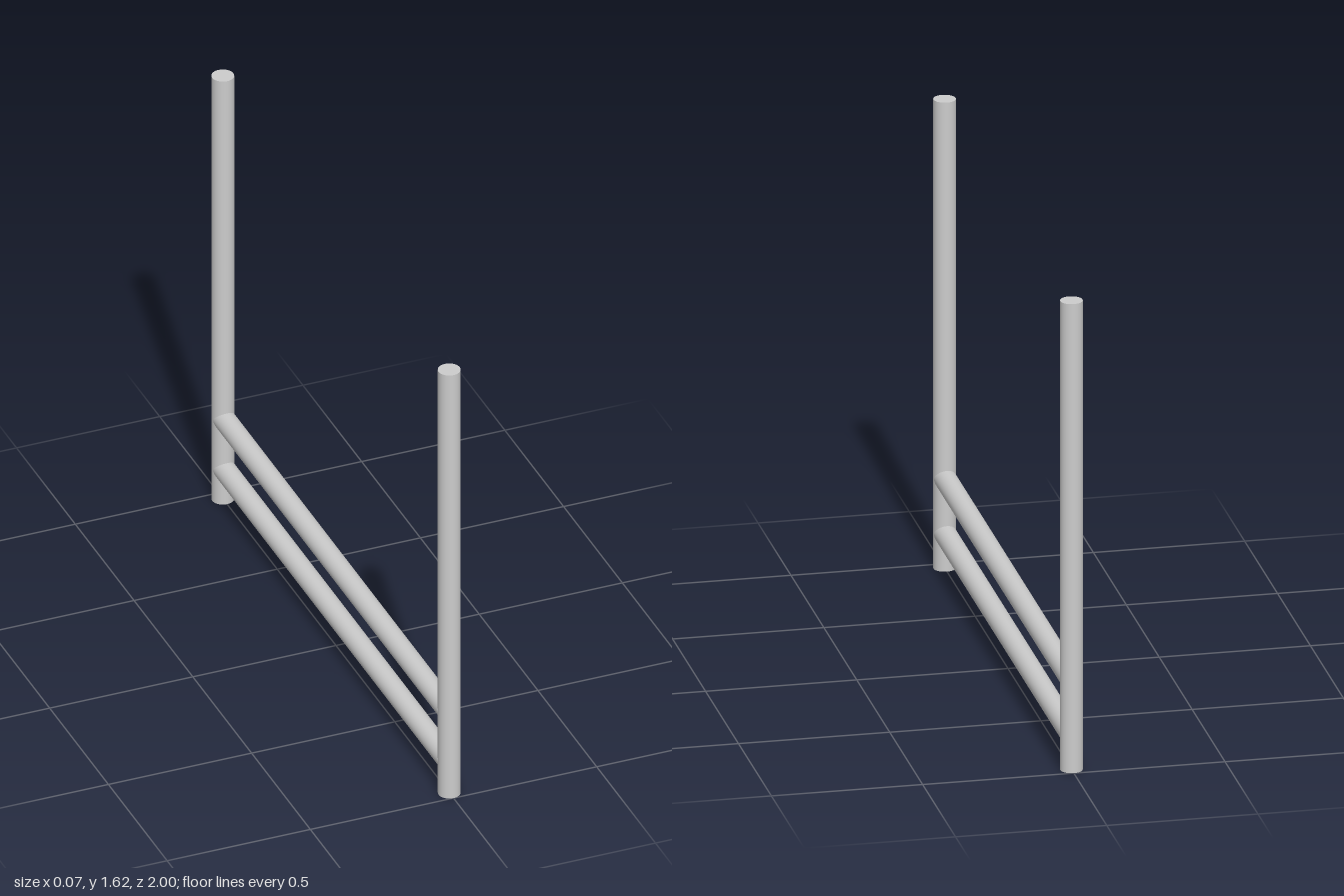
import * as THREE from 'three';

const RADIUS = 0.037;
const HEIGHT = 1.615;
const POST_Z = 1 - RADIUS;

export function createModel() {
  const group = new THREE.Group();
  group.name = 'tubeFrame';
  const material = new THREE.MeshStandardMaterial({ color: 0xcccccc });

  const addTube = (name, radius, length, y, z) => {
    const mesh = new THREE.Mesh(new THREE.CylinderGeometry(radius, radius, length, 48), material);
    mesh.name = name;
    mesh.position.set(0, y, z);
    group.add(mesh);
    return mesh;
  };

  // Upright posts at the front and back
  addTube('frontPost', RADIUS, HEIGHT, HEIGHT / 2, POST_Z);
  addTube('backPost', RADIUS, HEIGHT, HEIGHT / 2, -POST_Z);

  // Horizontal rails, ending on the post axes
  for (const [name, y] of [['lowerRail', 0.12], ['upperRail', 0.31]]) {
    addTube(name, RADIUS - 0.0005, 2 * POST_Z, y, 0).rotation.x = Math.PI / 2;
  }

  return group;
}
